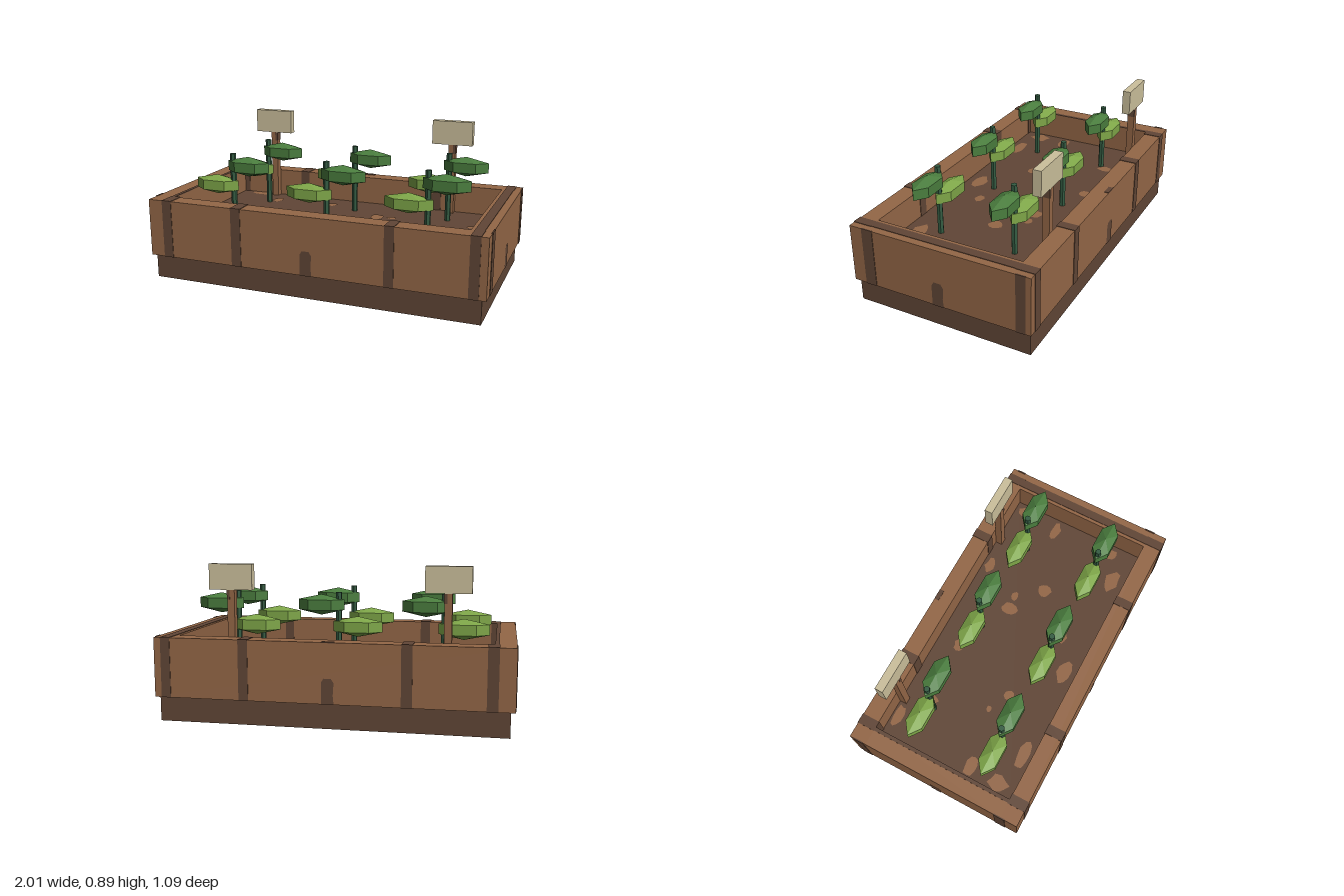
import * as THREE from 'three';

const mat = (name, color) => {
  const m = new THREE.MeshStandardMaterial({ color });
  m.name = name;
  return m;
};

export function createModel() {
  const wood = mat('wood', 0x946747), dark = mat('dark soil and grain', 0x614636);
  const cream = mat('cream sign', 0xccc09c), stemGreen = mat('stem green', 0x345c42);
  const lightLeaf = mat('light leaf', 0x7ea648), darkLeaf = mat('dark leaf', 0x4a7d3e);
  const model = new THREE.Group();
  model.name = 'planterBox';

  const add = (name, geometry, material, parent = model) => {
    const mesh = new THREE.Mesh(geometry, material);
    mesh.name = name;
    parent.add(mesh);
    return mesh;
  };
  // box given by its min and max on each axis
  const box = (name, material, x0, x1, y0, y1, z0, z1, parent) => {
    const g = new THREE.BoxGeometry(x1 - x0, y1 - y0, z1 - z0);
    g.translate((x0 + x1) / 2, (y0 + y1) / 2, (z0 + z1) / 2);
    return add(name, g, material, parent);
  };

  const low = 0.14, top = 0.48, soilTop = 0.31, e = 0.003;
  const inX = 0.885, inZ = 0.437, outZ = 0.54;

  // plinth, soil and walls
  box('base', dark, -0.975, 0.975, 0, low + 0.01, -0.525, 0.525);
  box('soil', dark, -inX, inX, low, soilTop, -inZ, inZ);
  box('frontWall', wood, -1, 1, low, top, inZ, outZ);
  box('backWall', wood, -1, 1, low, top, -outZ, -inZ);
  box('leftWall', wood, inX, 1, low, top, -inZ, inZ);
  box('rightWall', wood, -1, -inX, low, top, -inZ, inZ);

  // grain bands wrapped round the long walls
  for (const [x0, x1] of [[-0.91, -0.85], [-0.46, -0.4], [0.45, 0.505], [0.905, 0.96]]) {
    box('frontGrain', dark, x0, x1, low, top + e, inZ - e, outZ + e);
    box('backGrain', dark, x0, x1, low, top + e, -outZ - e, -inZ + e);
  }
  // grain on the short walls and along their tops
  for (const s of [-1, 1]) {
    const x0 = s > 0 ? 0.995 : -1 - e, x1 = s > 0 ? 1 + e : -0.995;
    box('sideGrain', dark, x0, x1, low, top + e, 0.395, 0.463);
    box('sideGrain', dark, x0, x1, low, top + e, -0.51, -0.455);
  }
  box('leftTopGrain', dark, 0.905, 0.957, top - e, top + e, -outZ, outZ);
  box('rightTopGrain', dark, -0.907, -inX, top - e, top + e, -inZ, inZ);
  box('backTopKnot', dark, -0.035, 0.035, top - e, top + e, -outZ, -0.512);

  // small knot at the middle of each outer face
  const knot = new THREE.Shape([
    [-0.035, 0], [0.035, 0], [0.03, 0.05], [0.035, 0.12], [0.02, 0.143], [-0.022, 0.143], [-0.035, 0.12],
  ].map(([x, y]) => new THREE.Vector2(x, y)));
  [[0, outZ], [1, 0], [0, -outZ], [-1, 0]].forEach(([x, z], i) => {
    const m = add('knot', new THREE.ShapeGeometry(knot), dark);
    m.position.set(x * (1 + e), low, z + Math.sign(z) * e);
    m.rotation.y = i * Math.PI / 2;
  });

  // irregular light patches on the soil: x, z, half width, half depth
  let seed = 7;
  const rand = () => (seed = (seed * 16807) % 2147483647) / 2147483647;
  const patches = [
    [-0.74, -0.4, 0.07, 0.03], [-0.56, -0.28, 0.03, 0.05], [0.18, -0.14, 0.035, 0.05],
    [0.39, 0, 0.045, 0.04], [0.8, -0.13, 0.06, 0.03], [-0.32, 0.13, 0.035, 0.03],
    [-0.8, 0.13, 0.06, 0.035], [-0.6, 0.375, 0.09, 0.035], [-0.82, 0.32, 0.05, 0.06],
    [-0.03, 0.35, 0.07, 0.04], [0.16, 0.24, 0.04, 0.03], [0.65, 0.35, 0.07, 0.045],
    [0.39, -0.39, 0.05, 0.03], [0.82, 0.25, 0.035, 0.06], [-0.18, -0.3, 0.035, 0.03],
    [-0.45, 0.06, 0.02, 0.015], [0.27, -0.15, 0.03, 0.02], [0.83, -0.38, 0.03, 0.035],
  ];
  for (const [x, z, rx, rz] of patches) {
    const pts = [];
    for (let i = 0; i < 10; i++) {
      const a = i / 10 * Math.PI * 2, r = 0.8 + rand() * 0.4;
      pts.push(new THREE.Vector2(Math.cos(a) * rx * r, Math.sin(a) * rz * r));
    }
    const m = add('soilPatch', new THREE.ShapeGeometry(new THREE.Shape(pts)), wood);
    m.rotation.x = -Math.PI / 2;
    m.position.set(x, soilTop + e, z);
  }

  // faceted leaf
  const leaf = (name, material, parent, x, y, rx) => {
    const g = new THREE.SphereGeometry(1, 6, 3).toNonIndexed();
    g.scale(rx, 0.059, 0.07);
    g.computeVertexNormals();
    add(name, g, material, parent).position.set(x, y, 0);
  };
  // two rows of three seedlings
  for (const z of [-0.235, 0.235]) {
    for (const x of [-0.6, 0, 0.6]) {
      const plant = new THREE.Group();
      plant.name = 'seedling';
      plant.position.set(x, 0, z);
      model.add(plant);
      const g = new THREE.CylinderGeometry(0.018, 0.018, 0.425, 6).toNonIndexed();
      g.computeVertexNormals();
      add('stem', g, stemGreen, plant).position.y = 0.5125;
      leaf('lowerLeaf', lightLeaf, plant, -0.11, 0.53, 0.163);
      leaf('upperLeaf', darkLeaf, plant, 0.102, 0.653, 0.155);
    }
  }

  // blank plant markers at the back
  for (const x of [-0.635, 0.575]) {
    const marker = new THREE.Group();
    marker.name = 'marker';
    marker.position.set(x, 0, -0.416);
    model.add(marker);
    box('stake', wood, -0.021, 0.021, 0.3, 0.75, -0.021, 0.021, marker);
    box('stakeGrain', dark, 0.006, 0.023, 0.69, 0.748, -0.022, 0.022, marker);
    box('signBoard', cream, -0.125, 0.125, 0.745, 0.89, -0.024, 0.024, marker);
  }
  return model;
}
